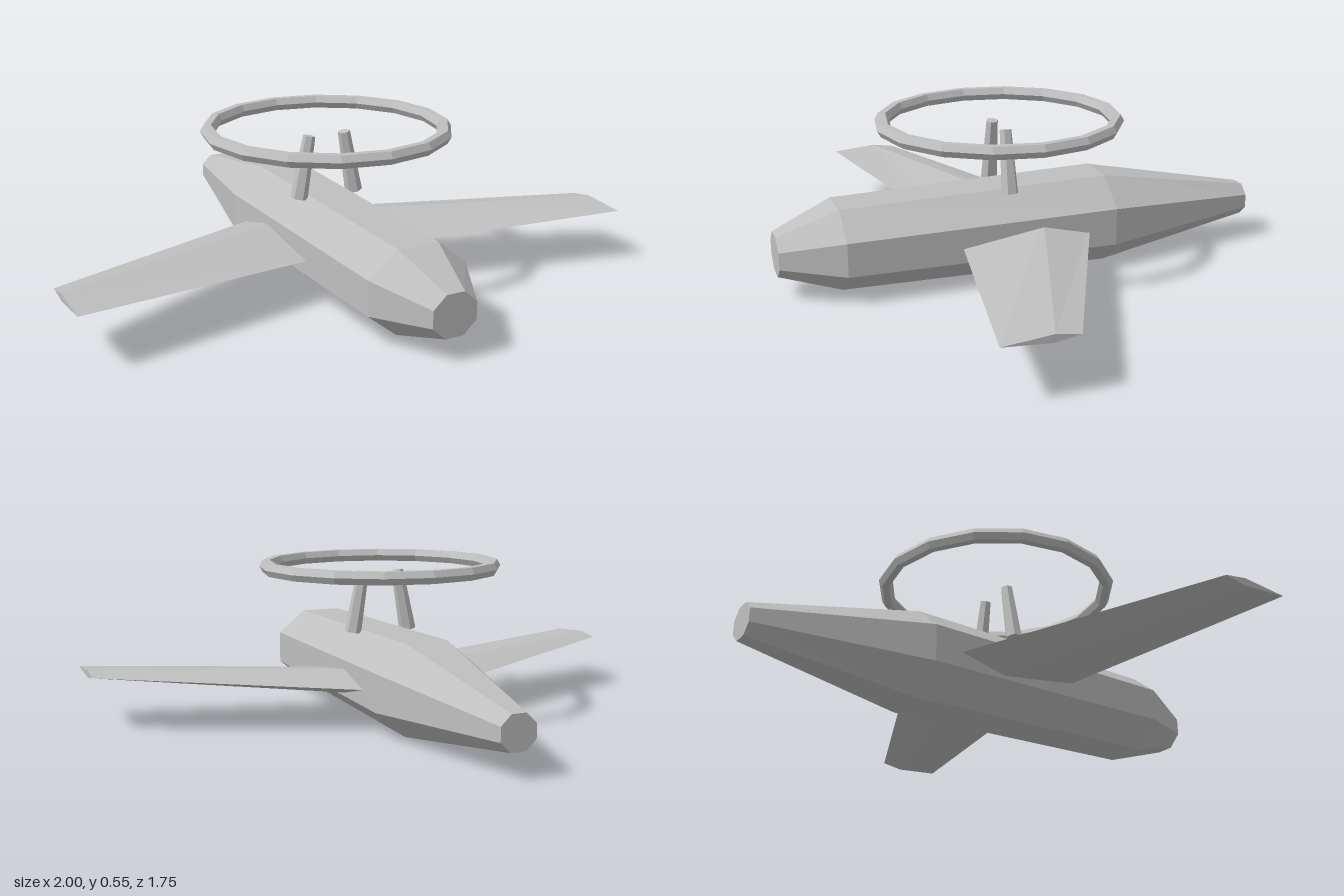
import * as THREE from 'three';

const grey = new THREE.MeshStandardMaterial({ color: 0xbfbfbf, flatShading: true });
grey.name = 'grey metal';

// Joins rings of points into a closed solid; each ring runs counter-clockwise seen from the first ring's end
function loft(rings) {
  const n = rings[0].length;
  const last = (rings.length - 1) * n;
  const index = [];
  for (let i = 0; i < rings.length - 1; i++) {
    for (let j = 0; j < n; j++) {
      const a = i * n + j;
      const b = i * n + (j + 1) % n;
      index.push(a, a + n, b, b, a + n, b + n);
    }
  }
  for (let j = 1; j < n - 1; j++) {
    index.push(0, j, j + 1, last, last + j + 1, last + j);
  }
  const indexed = new THREE.BufferGeometry();
  indexed.setAttribute('position', new THREE.Float32BufferAttribute(rings.flat(2), 3));
  indexed.setIndex(index);
  const geometry = indexed.toNonIndexed();
  geometry.computeVertexNormals();
  return geometry;
}

function addPart(group, name, geometry) {
  const mesh = new THREE.Mesh(geometry, grey);
  mesh.name = name;
  group.add(mesh);
  return mesh;
}

// Eight-sided ring with flat top, bottom and sides
function octagon(z, halfWidth, bottom, top) {
  const ring = [];
  const k = 1 / Math.cos(Math.PI / 8);
  for (let j = 0; j < 8; j++) {
    const a = (j + 0.5) * Math.PI / 4;
    ring.push([
      halfWidth * k * Math.cos(a),
      (bottom + top) / 2 + (top - bottom) / 2 * k * Math.sin(a),
      z,
    ]);
  }
  return ring;
}

// Diamond wing section: rear edge, ridge, front edge, keel
function diamond(x, rear, ridge, front, edgeY, topY, bottomY) {
  return [[x, edgeY, rear], [x, topY, ridge], [x, edgeY, front], [x, bottomY, ridge]];
}

export function createModel() {
  const model = new THREE.Group();
  model.name = 'radarAircraft';

  // Fuselage, nose to tail
  addPart(model, 'fuselage', loft([
    octagon(0.875, 0.077, 0.08, 0.22),
    octagon(0.67, 0.175, 0.02, 0.3),
    octagon(-0.28, 0.185, 0, 0.315),
    octagon(-0.875, 0.06, 0.085, 0.2),
  ]));

  for (const side of [1, -1]) {
    const label = side > 0 ? 'left' : 'right';

    // Wing, its root buried in the fuselage
    const tip = diamond(side, 0.21, 0.29, 0.45, 0.187, 0.2, 0.174);
    const root = diamond(side * 0.1, -0.218, -0.04, 0.263, 0.145, 0.189, 0.101);
    addPart(model, label + 'Wing', loft(side > 0 ? [tip, root] : [root, tip]));

    // Tapered strut leaning inwards
    const foot = new THREE.Vector3(side * 0.107, 0.3, 0.088);
    const head = new THREE.Vector3(side * 0.067, 0.515, 0.088);
    const axis = head.clone().sub(foot);
    const strut = addPart(model, label + 'Strut',
      new THREE.CylinderGeometry(0.021, 0.03, axis.length(), 6));
    strut.position.copy(foot).add(head).multiplyScalar(0.5);
    strut.quaternion.setFromUnitVectors(new THREE.Vector3(0, 1, 0), axis.normalize());
  }

  // Ring antenna above the body
  const ring = addPart(model, 'antennaRing', new THREE.TorusGeometry(0.403, 0.025, 6, 16));
  ring.rotation.x = Math.PI / 2;
  ring.position.set(0, 0.533, 0.087);

  return model;
}
